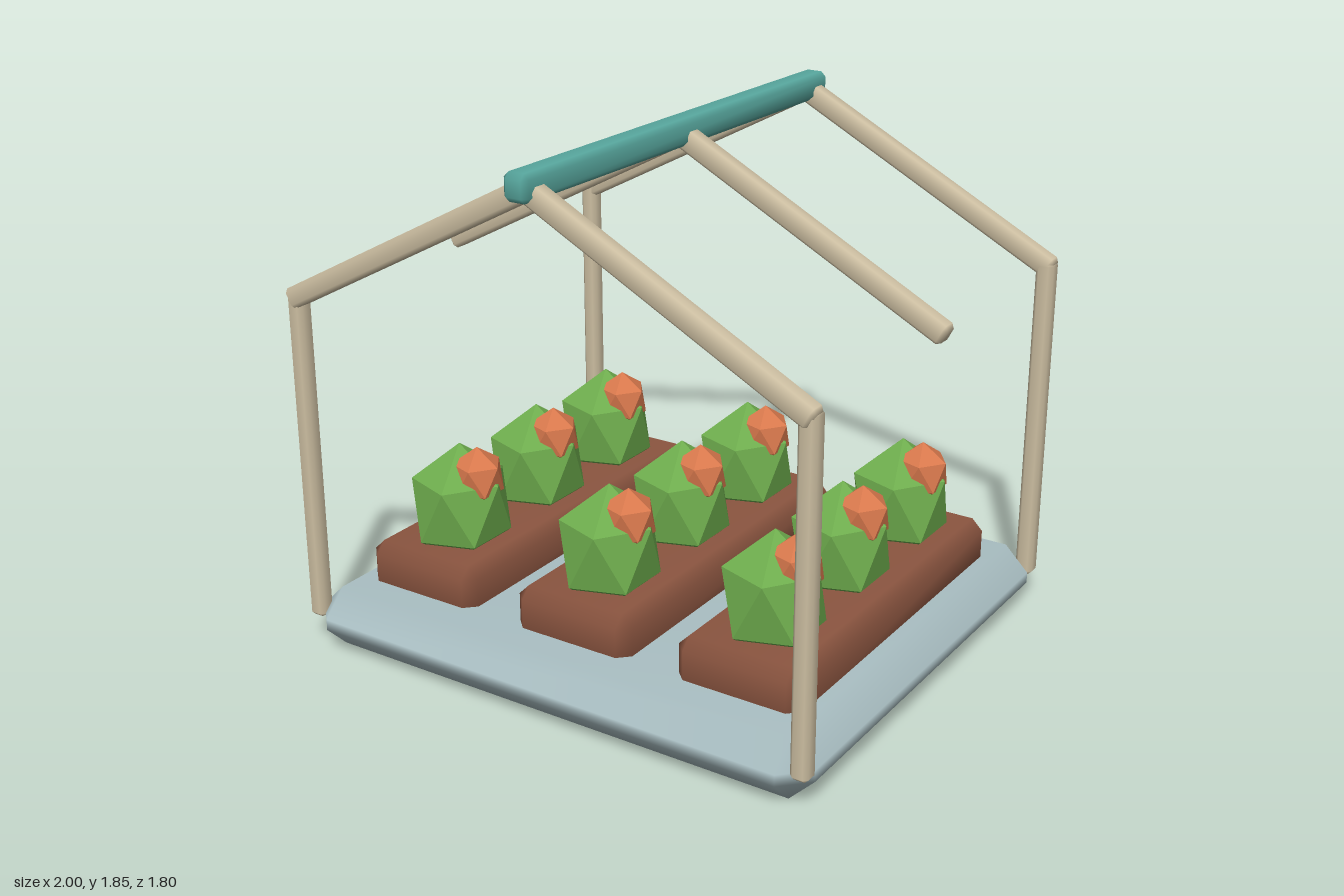
import * as THREE from 'three';
import { mergeVertices } from 'three/addons/utils/BufferGeometryUtils.js';
import { ConvexGeometry } from 'three/addons/geometries/ConvexGeometry.js';

const material = (name, color) => {
  const m = new THREE.MeshStandardMaterial({ color });
  m.name = name;
  return m;
};

// Box with chamfered edges and smooth, area-weighted normals
function chamferBox(w, h, d, c) {
  const points = [];
  for (const x of [-1, 1]) for (const y of [-1, 1]) for (const z of [-1, 1]) {
    for (let axis = 0; axis < 3; axis++) {
      const inset = [c, c, c];
      inset[axis] = 0;
      points.push(new THREE.Vector3(
        x * (w / 2 - inset[0]), y * (h / 2 - inset[1]), z * (d / 2 - inset[2])));
    }
  }
  let geometry = new ConvexGeometry(points);
  geometry.deleteAttribute('normal');
  geometry = mergeVertices(geometry, 1e-4);
  geometry.computeVertexNormals();
  return geometry;
}

// Faceted icosahedron standing on its pole, one upper vertex towards +x
function facetedBall(rx, ry, rz) {
  const points = [new THREE.Vector3(0, ry, 0), new THREE.Vector3(0, -ry, 0)];
  const ring = 2 / Math.sqrt(5), level = 1 / Math.sqrt(5);
  for (let i = 0; i < 5; i++) {
    const a = i * Math.PI * 2 / 5;
    const x = Math.cos(a) * ring * rx, z = Math.sin(a) * ring * rz;
    points.push(new THREE.Vector3(x, level * ry, z), new THREE.Vector3(-x, -level * ry, z));
  }
  return new ConvexGeometry(points);
}

export function createModel() {
  const model = new THREE.Group();
  model.name = 'greenhouse';

  const stone = material('paleStone', 0xa9bec2);
  const wood = material('paleWood', 0xcdbfa2);
  const teal = material('tealPaint', 0x58a89f);
  const soil = material('brownSoil', 0x8b5540);
  const leaf = material('leafGreen', 0x6fae4e);
  const bloom = material('bloomOrange', 0xd9794d);

  const add = (name, geometry, mat, x, y, z) => {
    const mesh = new THREE.Mesh(geometry, mat);
    mesh.name = name;
    mesh.position.set(x, y, z);
    model.add(mesh);
    return mesh;
  };

  // Floor slab and ridge beam
  add('floorSlab', chamferBox(1.98, 0.22, 1.755, 0.09), stone, 0, 0.11, 0);
  add('ridgeBeam', chamferBox(0.092, 0.092, 1.8, 0.018), teal, 0, 1.804, 0);

  // Corner posts
  const postGeometry = chamferBox(0.064, 1.19, 0.064, 0.014);
  for (const x of [-0.967, 0.967]) for (const z of [-0.826, 0.826]) {
    add('cornerPost', postGeometry, wood, x, 0.71, z);
  }

  // Three pairs of sloping rafters
  const foot = new THREE.Vector2(0.985, 1.276), peak = new THREE.Vector2(0, 1.79);
  const slope = Math.atan2(peak.y - foot.y, foot.x);
  const rafterGeometry = chamferBox(foot.distanceTo(peak), 0.072, 0.072, 0.014);
  for (const z of [-0.832, 0, 0.832]) for (const side of [-1, 1]) {
    const rafter = add('rafter', rafterGeometry, wood,
      side * foot.x / 2, (foot.y + peak.y) / 2, z);
    rafter.rotation.z = -side * slope;
  }

  // Planting beds, each with three flowering plants
  const bedGeometry = chamferBox(0.456, 0.2, 1.37, 0.04);
  const plantGeometry = facetedBall(0.186, 0.228, 0.196);
  const flowerGeometry = facetedBall(0.1, 0.11, 0.1);
  for (const x of [-0.636, 0, 0.636]) {
    add('plantingBed', bedGeometry, soil, x, 0.262, 0);
    for (const z of [-0.44, 0, 0.44]) {
      add('plant', plantGeometry, leaf, x, 0.474, z);
      add('flower', flowerGeometry, bloom, x + 0.077, 0.594, z);
    }
  }

  return model;
}
